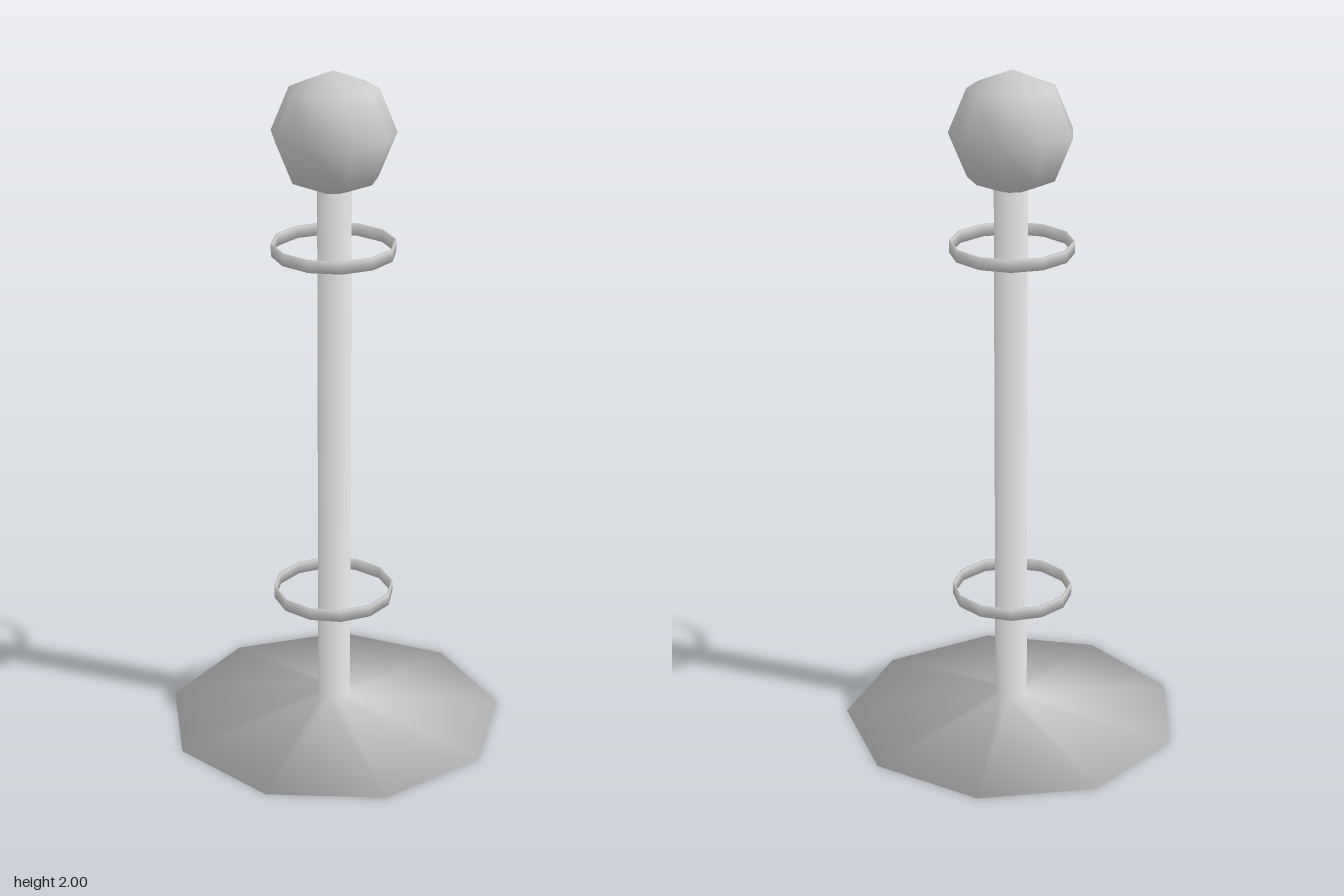
import * as THREE from 'three';

// Turned part from [radius, height, tilt] points; tilt is the angle of the
// smooth normal above the outward horizontal, in degrees
function turned(profile, sides, start) {
  const geometry = new THREE.LatheGeometry(
    profile.map(([r, y]) => new THREE.Vector2(r, y)), sides, start);
  const normals = geometry.getAttribute('normal');
  for (let i = 0; i <= sides; i++) {
    const phi = start + (i / sides) * Math.PI * 2;
    profile.forEach(([, , tilt], j) => {
      const t = THREE.MathUtils.degToRad(tilt);
      normals.setXYZ(i * profile.length + j,
        Math.cos(t) * Math.sin(phi), Math.sin(t), Math.cos(t) * Math.cos(phi));
    });
  }
  return geometry;
}

export function createModel() {
  const model = new THREE.Group();
  const material = new THREE.MeshStandardMaterial({ color: 0xcccccc, side: THREE.DoubleSide });
  const axisZ = 0.015;

  const add = (name, geometry, x, y) => {
    const mesh = new THREE.Mesh(geometry, material);
    mesh.name = name;
    mesh.position.set(x, y, axisZ);
    model.add(mesh);
  };

  // Shallow conical foot flowing smoothly into the upright, a corner pointing to the back
  add('baseAndPole', turned([
    [0, 0, -3.5], [0.504, 0, -3.5], [0.049, 0.07, 45], [0.049, 1.68, 45]
  ], 9, Math.PI), 0, 0);

  // Thin-walled hoops around the pole, with softened edges
  for (const [name, y] of [['lowerRing', 0.422], ['upperRing', 1.493]]) {
    add(name, turned([
      [0.172, -0.018, 225], [0.177, -0.018, -45], [0.177, 0.018, 45],
      [0.172, 0.018, 135], [0.172, -0.018, 225]
    ], 12, 0), -0.002, y);
  }

  // Faceted ball on top, a corner pointing to the back
  add('ball', new THREE.SphereGeometry(0.178, 9, 4, -Math.PI / 2), -0.003, 1.822);

  return model;
}
